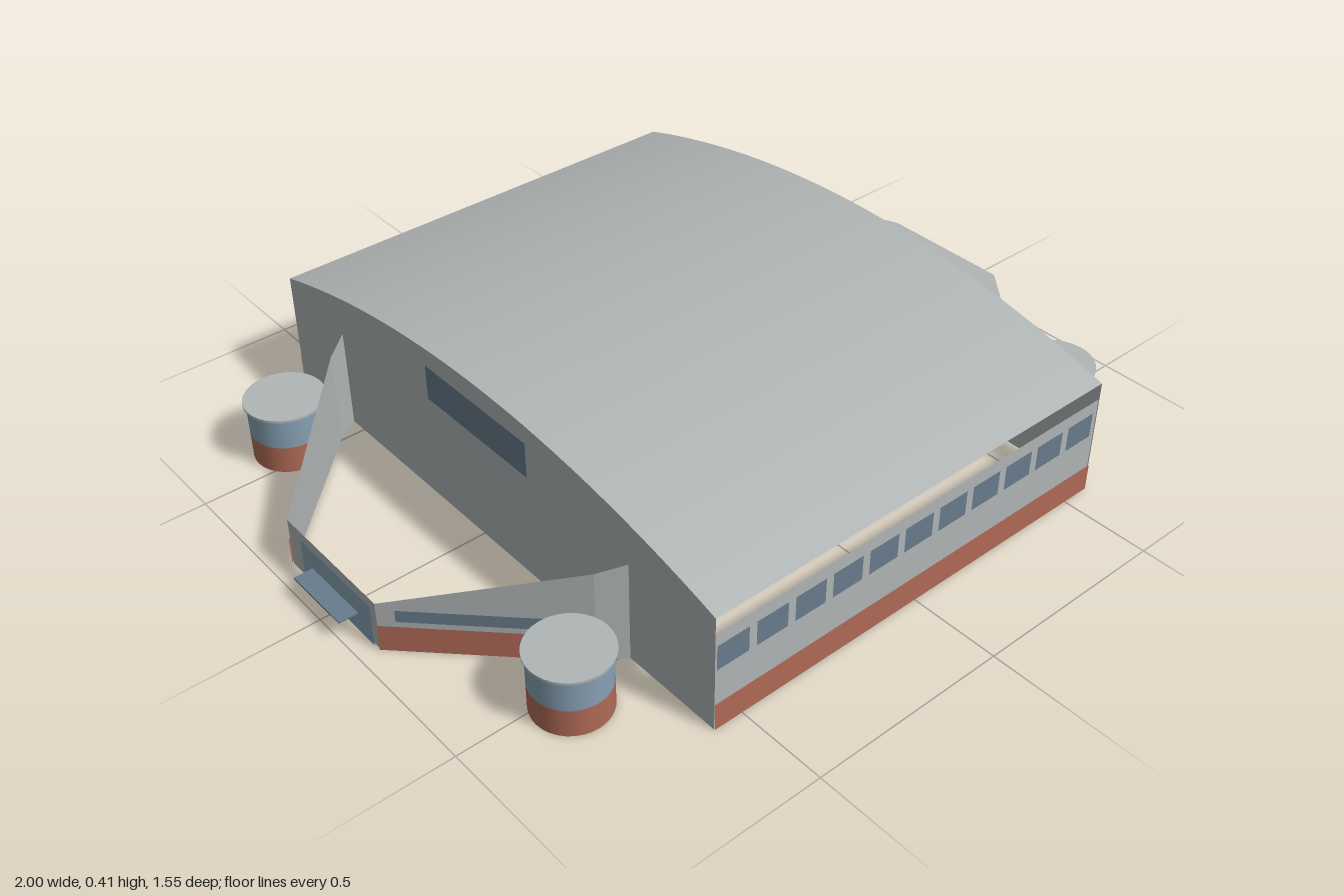
import * as THREE from 'three';

const mat = (name, color) => {
  const m = new THREE.MeshStandardMaterial({ color, side: THREE.DoubleSide });
  m.name = name;
  return m;
};

const HALF_X = 0.573, HALF_Z = 0.773;
// height of the arched roof at a given z
const archY = (z) => {
  const r = 2.669;
  return 0.415 - r + Math.sqrt(r * r - z * z);
};
// height of the sloping wing tops at a given |x|
const slopeY = (x) => 0.258 - (x - HALF_X) * 0.35;

export function createModel() {
  const grey = mat('concrete grey', 0xb0b5b5);
  const red = mat('brick red', 0xb06a56);
  const blue = mat('pale blue', 0x87a0b3);
  const slate = mat('window slate', 0x687c8c);

  const model = new THREE.Group();
  model.name = 'sportsHall';

  const add = (parent, name, geometry, material) => {
    const mesh = new THREE.Mesh(geometry, material);
    mesh.name = name;
    parent.add(mesh);
    return mesh;
  };

  // flat convex face from its outline, counter-clockwise seen from outside
  const face = (parent, name, pts, material, flip = false) => {
    const p = flip ? [...pts].reverse() : pts;
    const out = [];
    for (let i = 1; i < p.length - 1; i++) out.push(...p[0], ...p[i], ...p[i + 1]);
    const g = new THREE.BufferGeometry();
    g.setAttribute('position', new THREE.Float32BufferAttribute(out, 3));
    g.computeVertexNormals();
    return add(parent, name, g, material);
  };

  // arched roof
  const roof = new THREE.PlaneGeometry(HALF_X * 2, 1.55, 1, 32).rotateX(-Math.PI / 2);
  const pos = roof.attributes.position;
  for (let i = 0; i < pos.count; i++) pos.setY(i, archY(pos.getZ(i)));
  roof.computeVertexNormals();
  add(model, 'archedRoof', roof, grey);

  // long walls with a brick base and a row of windows, open below the eaves
  for (const s of [1, -1]) {
    const wall = new THREE.Group();
    wall.name = s > 0 ? 'frontWall' : 'backWall';
    model.add(wall);
    const panel = (name, x0, x1, y0, y1, off, m) => {
      const z = s * (HALF_Z + off);
      face(wall, name, [[x0, y0, z], [x1, y0, z], [x1, y1, z], [x0, y1, z]], m, s < 0);
    };
    panel('wallPanel', -HALF_X, HALF_X, 0, 0.255, 0, grey);
    panel('brickBase', -HALF_X, HALF_X, 0, 0.07, 0.004, red);
    for (let i = 0; i < 11; i++) {
      const x = -0.528 + i * 0.104;
      panel('wallWindow', x - 0.042, x + 0.042, 0.163, 0.227, 0.004, slate);
    }
  }

  // each end: arched wall, high window, and a tapering entrance wing
  for (const s of [1, -1]) {
    const end = new THREE.Group();
    end.name = s > 0 ? 'leftEnd' : 'rightEnd';
    model.add(end);
    const side = (name, pts, m) =>
      face(end, name, pts.map(([x, y, z]) => [s * x, y, z]), m, s < 0);

    const outline = [[HALF_X, 0, 0.775], [HALF_X, 0, -0.775]];
    for (let i = 0; i <= 32; i++) {
      const z = -0.775 + (1.55 * i) / 32;
      outline.push([HALF_X, archY(z), z]);
    }
    side('endWall', outline, grey);
    const hx = HALF_X + 0.004;
    side('highWindow', [[hx, 0.277, 0.185], [hx, 0.277, -0.18], [hx, 0.367, -0.18], [hx, 0.367, 0.185]], slate);

    // wing plan, from the front round to the back
    const plan = [[HALF_X, 0.515], [0.63, 0.475], [0.95, 0.155], [0.95, -0.19], [0.63, -0.508], [HALF_X, -0.545]];

    // panel on wall segment i, between fractions a and b, pushed outward by off
    const wingPanel = (name, i, a, b, y0, y1, off, m) => {
      const [p, q] = [plan[i], plan[i + 1]];
      const dx = q[0] - p[0], dz = q[1] - p[1], len = Math.hypot(dx, dz);
      const at = (t) => [p[0] + dx * t - (dz / len) * off, p[1] + dz * t + (dx / len) * off];
      const [A, B] = [at(a), at(b)];
      const top = (t) => (y1 === null ? slopeY(p[0] + dx * t) : y1);
      side(name, [[A[0], y0, A[1]], [B[0], y0, B[1]], [B[0], top(b), B[1]], [A[0], top(a), A[1]]], m);
    };
    for (let i = 0; i < 5; i++) wingPanel('wingWall', i, 0, 1, 0, null, 0, grey);
    for (const i of [1, 3]) {
      wingPanel('wingBrickBase', i, 0, 1, 0, 0.068, 0.004, red);
      wingPanel('wingWindow', i, 0.09, 0.91, 0.082, 0.113, 0.004, slate);
    }
    wingPanel('entranceDoor', 2, 0.045, 0.84, 0, 0.108, 0.004, blue);

    // canopy slab over the entrance
    const canopy = add(end, 'canopy', new THREE.BoxGeometry(0.046, 0.004, 0.18), slate);
    canopy.position.set(s * 0.977, 0.052, -0.005);

    // only one wing is roofed
    if (s > 0) side('wingRoof', plan.map(([x, z]) => [x, slopeY(x), z]), grey);

    // round corner towers, open below
    for (const z of [0.535, -0.55]) {
      const tower = new THREE.Group();
      tower.name = 'cornerTower';
      tower.position.set(s > 0 ? 0.73 : -0.742, 0, z);
      end.add(tower);
      const ring = (name, r, y0, y1, m, open) => {
        const g = new THREE.CylinderGeometry(r, r, y1 - y0, 32, 1, open);
        add(tower, name, g, m).position.y = (y0 + y1) / 2;
      };
      ring('towerBase', 0.09, 0, 0.07, red, true);
      ring('towerGlazing', 0.09, 0.07, 0.148, blue, true);
      ring('towerCap', 0.097, 0.148, 0.154, grey, false);
    }
  }

  return model;
}
